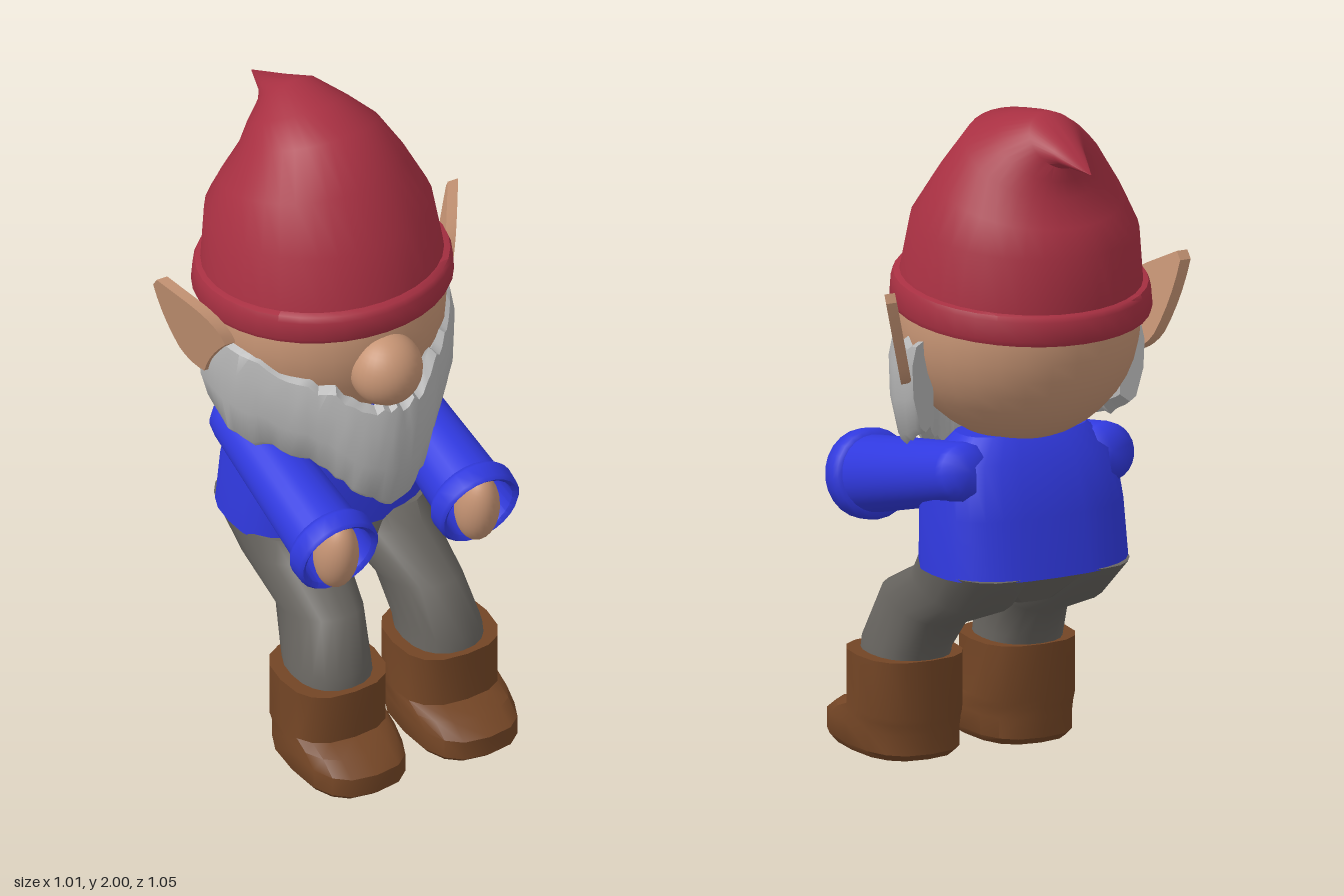
import * as THREE from 'three';
import { toCreasedNormals } from 'three/addons/utils/BufferGeometryUtils.js';

const mat = (name, color) => Object.assign(new THREE.MeshStandardMaterial({ color }), { name });

// Skin closed loops of points into a capped surface
function skin(rings, crease) {
  const n = rings[0].length, pos = [], idx = [];
  rings.forEach(r => r.forEach(p => pos.push(p.x, p.y, p.z)));
  for (let i = 0; i < rings.length - 1; i++)
    for (let j = 0; j < n; j++) {
      const k = (j + 1) % n, a = i * n + j, b = i * n + k, c = a + n, d = b + n;
      idx.push(a, b, c, b, d, c);
    }
  [0, rings.length - 1].forEach((r, end) => {
    const c = new THREE.Vector3();
    rings[r].forEach(p => c.addScaledVector(p, 1 / n));
    const ci = pos.length / 3;
    pos.push(c.x, c.y, c.z);
    for (let j = 0; j < n; j++) {
      const a = r * n + j, b = r * n + (j + 1) % n;
      if (end) idx.push(ci, a, b); else idx.push(ci, b, a);
    }
  });
  const g = new THREE.BufferGeometry();
  g.setAttribute('position', new THREE.Float32BufferAttribute(pos, 3));
  g.setIndex(idx);
  g.computeVertexNormals();
  return crease ? toCreasedNormals(g, crease) : g;
}

// Stack of rounded sections, bottom to top: [frontZ, frontY, rearZ, rearY, halfWidth, centreX]
function loft(sections, sides, power, crease) {
  const round = v => Math.sign(v) * Math.pow(Math.abs(v), 2 / power);
  return skin(sections.map(([fz, fy, rz, ry, w, cx = 0]) =>
    Array.from({ length: sides }, (_, j) => {
      const a = j / sides * Math.PI * 2, c = round(Math.cos(a)), s = round(Math.sin(a));
      return new THREE.Vector3(cx + w * s, (fy + ry) / 2 + (fy - ry) / 2 * c, (fz + rz) / 2 + (fz - rz) / 2 * c);
    })), crease);
}

// Beard: a shell wrapped round the jaw from ear to ear, with ragged edges
function beardGeometry() {
  let seed = 7;
  const rand = () => (seed = (seed * 16807) % 2147483647) / 2147483647 - 0.5;
  const half = [ // x, z, top, bottom from chin to ear
    [0, 0.335, 1.2, 0.83], [0.1, 0.31, 1.22, 0.88], [0.2, 0.23, 1.27, 0.97],
    [0.3, 0.12, 1.3, 1.0], [0.375, -0.02, 1.33, 1.0], [0.385, -0.16, 1.32, 1.05]];
  const all = [...half.slice(1).reverse().map(([x, ...r]) => [-x, ...r]), ...half];
  const plan = new THREE.CatmullRomCurve3(all.map(([x, z]) => new THREE.Vector3(x, 0, z)));
  const edge = new THREE.CatmullRomCurve3(all.map(([x, , t, b]) => new THREE.Vector3(x, t, b)));
  const rings = [], steps = 48;
  for (let i = 0; i <= steps; i++) {
    const p = plan.getPoint(i / steps), e = edge.getPoint(i / steps);
    const top = e.y + rand() * 0.035, bottom = e.z + rand() * 0.025, bump = rand() * 0.012;
    const at = (k, y) => new THREE.Vector3(p.x * k, y, -0.1 + (p.z + 0.1) * k);
    const mix = f => bottom + (top - bottom) * f;
    rings.push([at(0.9, top), at(0.97, mix(0.95)), at(1 + bump, mix(0.75)), at(0.99 + bump, mix(0.4)),
      at(0.93, mix(0.06)), at(0.88, bottom), at(0.8, mix(0.1)), at(0.82, mix(0.85))]);
  }
  return skin(rings, 0.8);
}

// Ear: pointed leaf slab, sheared outwards towards its tip
function earGeometry() {
  const s = new THREE.Shape();
  s.moveTo(-0.11, 1.2);
  s.quadraticCurveTo(-0.08, 1.28, -0.02, 1.34);
  s.quadraticCurveTo(-0.03, 1.41, -0.12, 1.46);
  s.lineTo(-0.2, 1.505);
  s.lineTo(-0.215, 1.48);
  s.quadraticCurveTo(-0.21, 1.36, -0.175, 1.26);
  s.quadraticCurveTo(-0.15, 1.21, -0.11, 1.2);
  const g = new THREE.ExtrudeGeometry(s, { depth: 0.035, bevelEnabled: false, curveSegments: 5 });
  g.rotateY(-Math.PI / 2); // outline x becomes z, depth becomes -x
  const p = g.attributes.position;
  for (let i = 0; i < p.count; i++)
    p.setX(i, p.getX(i) + 0.36 - 0.51 * p.getZ(i) + 0.2 * (p.getY(i) - 1.3));
  g.computeVertexNormals();
  return toCreasedNormals(g, 0.6);
}

export function createModel() {
  const model = new THREE.Group();
  const skinTone = mat('skin', 0xc69474), red = mat('hat red', 0xa83042), blue = mat('shirt blue', 0x3039df),
    grey = mat('trouser grey', 0x686560), brown = mat('boot brown', 0x734525), white = mat('beard grey', 0xb4b4b4);
  const add = (parent, name, geo, material) => {
    const m = new THREE.Mesh(geo, material);
    m.name = name;
    parent.add(m);
    return m;
  };
  const ball = (parent, name, x, y, z, rx, ry, rz) => {
    const m = add(parent, name, new THREE.SphereGeometry(1, 28, 20), skinTone);
    m.position.set(x, y, z);
    m.scale.set(rx, ry, rz);
    return m;
  };

  // Head
  ball(model, 'head', 0, 1.345, -0.1, 0.355, 0.355, 0.35);
  ball(model, 'nose', 0.005, 1.287, 0.245, 0.108, 0.112, 0.105);
  add(model, 'beard', beardGeometry(), white);

  // Hat with a bent tip and a raised brim
  add(model, 'hat', loft([
    [0.24, 1.5, -0.465, 1.43, 0.355], [0.2, 1.68, -0.47, 1.61, 0.33], [0.1, 1.82, -0.43, 1.69, 0.275],
    [0.0, 1.95, -0.39, 1.77, 0.205], [-0.13, 1.977, -0.388, 1.82, 0.15], [-0.26, 2.0, -0.39, 1.86, 0.085],
    [-0.38, 1.94, -0.41, 1.87, 0.05], [-0.52, 1.873, -0.522, 1.871, 0.002]], 36, 2, 0.9), red);
  add(model, 'hatBrim', loft([
    [0.235, 1.425, -0.46, 1.36, 0.35], [0.26, 1.425, -0.487, 1.357, 0.374], [0.268, 1.44, -0.494, 1.372, 0.38],
    [0.264, 1.495, -0.488, 1.428, 0.376], [0.255, 1.512, -0.48, 1.443, 0.37], [0.225, 1.52, -0.45, 1.45, 0.34]],
    36, 2, 0.9), red);

  // Torso and seat of the trousers
  add(model, 'torso', loft([
    [0.09, 0.62, -0.345, 0.625, 0.305], [0.085, 0.8, -0.315, 0.8, 0.3], [0.04, 0.95, -0.275, 0.96, 0.28],
    [0.0, 1.02, -0.22, 1.03, 0.2]], 28, 2.7, 0.7), blue);
  add(model, 'trouserSeat', loft([
    [0.11, 0.57, -0.2, 0.52, 0.13], [0.085, 0.64, -0.335, 0.63, 0.295]], 24, 2.5, 0.8), grey);

  // Sides: ear, arm, hand, leg and boot, mirrored
  for (const [side, name] of [[1, 'left'], [-1, 'right']]) {
    const g = new THREE.Group();
    g.name = name + 'Side';
    g.scale.x = side;
    model.add(g);

    add(g, name + 'Ear', earGeometry(), skinTone);

    // Sleeve: a hollow tube with a flared cuff
    const profile = [[0, 0], [0.06, 0.003], [0.085, 0.03], [0.09, 0.06], [0.113, 0.575], [0.126, 0.58],
      [0.134, 0.595], [0.131, 0.645], [0.122, 0.655], [0.108, 0.645], [0.1, 0.5], [0, 0.5]];
    const sleeve = add(g, name + 'Sleeve', toCreasedNormals(new THREE.LatheGeometry(
      profile.map(([r, y]) => new THREE.Vector2(r, y)), 24), 0.9), blue);
    sleeve.position.set(0.235, 0.945, -0.24);
    sleeve.quaternion.setFromUnitVectors(new THREE.Vector3(0, 1, 0), new THREE.Vector3(0, -0.155, 0.645).normalize());
    ball(g, name + 'Hand', 0.235, 0.793, 0.372, 0.063, 0.12, 0.075).rotation.x = 0.2;

    add(g, name + 'Leg', loft([
      [0.38, 0.28, 0.1, 0.28, 0.12, 0.185], [0.375, 0.34, 0.08, 0.32, 0.117, 0.185],
      [0.31, 0.5, 0, 0.42, 0.108, 0.165], [0.13, 0.59, -0.2, 0.5, 0.135, 0.15],
      [0.085, 0.64, -0.34, 0.63, 0.15, 0.152]], 20, 2.3, 0.9), grey);

    add(g, name + 'Boot', loft([
      [0.5, 0, 0.1, 0, 0.14, 0.187], [0.53, 0.025, 0.08, 0.02, 0.157, 0.187], [0.53, 0.085, 0.08, 0.08, 0.157, 0.187],
      [0.47, 0.12, 0.08, 0.11, 0.157, 0.187], [0.4, 0.14, 0.08, 0.13, 0.157, 0.187],
      [0.4, 0.3, 0.08, 0.3, 0.157, 0.187]], 16, 2.7, 0.7), brown);
  }
  return model;
}
